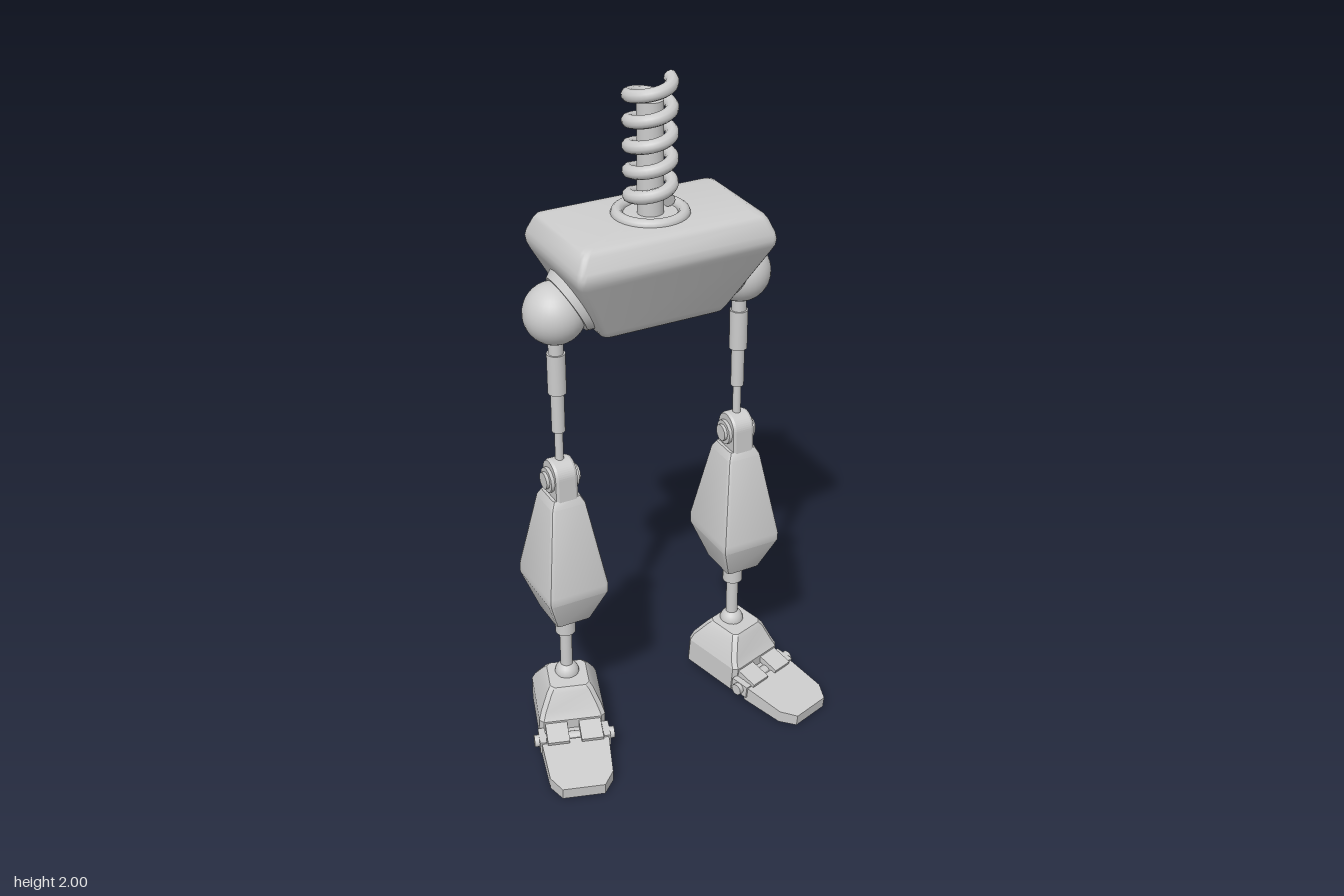
import * as THREE from 'three';
import { toCreasedNormals } from 'three/addons/utils/BufferGeometryUtils.js';

const material = new THREE.MeshStandardMaterial({ color: 0xcccccc });

function add(parent, name, geometry, x = 0, y = 0, z = 0) {
  const mesh = new THREE.Mesh(geometry, material);
  mesh.name = name;
  mesh.position.set(x, y, z);
  parent.add(mesh);
  return mesh;
}

// Stack of rounded rectangles, each [y, halfX, halfZ, cornerRadius, centreZ]
function loft(rings, seg = 3, crease = 0.6) {
  const pos = [], index = [];
  const n = 4 * (seg + 1);
  const signs = [[1, -1], [-1, -1], [-1, 1], [1, 1]];
  for (const [y, hx, hz, r, cz = 0] of rings) {
    signs.forEach(([sx, sz], q) => {
      for (let k = 0; k <= seg; k++) {
        const a = (q + k / seg) * Math.PI / 2;
        pos.push(sx * (hx - r) + r * Math.cos(a), y, cz + sz * (hz - r) - r * Math.sin(a));
      }
    });
  }
  for (let i = 0; i < rings.length - 1; i++) {
    for (let j = 0; j < n; j++) {
      const a = i * n + j, b = i * n + (j + 1) % n;
      index.push(a, b, b + n, a, b + n, a + n);
    }
  }
  // End caps
  const last = (rings.length - 1) * n;
  for (let j = 1; j < n - 1; j++) {
    index.push(0, j + 1, j, last, last + j, last + j + 1);
  }
  const g = new THREE.BufferGeometry();
  g.setAttribute('position', new THREE.Float32BufferAttribute(pos, 3));
  g.setIndex(index);
  return toCreasedNormals(g, crease);
}

// Vertical rod between two heights
function rod(parent, name, y0, y1, r0, r1 = r0) {
  return add(parent, name, new THREE.CylinderGeometry(r1, r0, y1 - y0, 20), 0, (y0 + y1) / 2, 0);
}

function bolt(parent, name, radius, length, y, z) {
  const mesh = add(parent, name, new THREE.CylinderGeometry(radius, radius, length, 12), 0, y, z);
  mesh.rotation.z = Math.PI / 2;
}

class Helix extends THREE.Curve {
  getPoint(t, target = new THREE.Vector3()) {
    const a = Math.PI / 2 - (1 - t) * Math.PI * 2 * 5;
    return target.set(Math.sin(a) * 0.057, 1.64 + t * 0.342, Math.cos(a) * 0.057);
  }
}

function makeFoot(side) {
  const foot = new THREE.Group();
  foot.name = 'foot';
  foot.rotation.order = 'YXZ';
  foot.rotation.set(0.1, side * 0.305, 0);
  foot.position.y = 0.0335;

  add(foot, 'heel', loft([
    [0, 0.098, 0.103, 0.012, 0.0],
    [0.08, 0.098, 0.103, 0.012, 0.0],
    [0.102, 0.09, 0.092, 0.012, -0.005],
    [0.155, 0.068, 0.064, 0.012, 0.0],
    [0.168, 0.058, 0.054, 0.012, 0.0],
  ], 1, 0.3));

  // Toe hinge: core, two plates and a cross bolt
  add(foot, 'hingeCore', new THREE.BoxGeometry(0.17, 0.045, 0.09), 0, 0.0235, 0.13);
  for (const s of [-1, 1]) {
    const plate = add(foot, 'hingePlate', new THREE.BoxGeometry(0.065, 0.02, 0.07), s * 0.05, 0.057, 0.133);
    plate.rotation.x = 0.2;
    add(foot, 'hingeLug', new THREE.BoxGeometry(0.02, 0.04, 0.06), s * 0.095, 0.035, 0.13);
  }
  bolt(foot, 'hingeBolt', 0.018, 0.238, 0.036, 0.13);

  // Toe plate, thinner towards the tip
  const outline = [[-0.1, 0.15], [0.1, 0.15], [0.092, 0.287], [0.062, 0.333], [-0.062, 0.333], [-0.092, 0.287]];
  const toe = new THREE.ExtrudeGeometry(new THREE.Shape(outline.map(p => new THREE.Vector2(...p))),
    { depth: 0.05, bevelEnabled: false });
  toe.rotateX(Math.PI / 2).translate(0, 0.05, 0);
  const p = toe.attributes.position;
  for (let i = 0; i < p.count; i++) p.setY(i, p.getY(i) * (1 - 1.5 * (p.getZ(i) - 0.15)));
  toe.computeVertexNormals();
  add(foot, 'toe', toe);
  return foot;
}

function makeLeg(side) {
  const leg = new THREE.Group();
  leg.name = side > 0 ? 'leftLeg' : 'rightLeg';
  leg.position.set(side * 0.283, 0, -0.08);

  add(leg, 'hipBall', new THREE.SphereGeometry(0.087, 32, 20), 0, 1.39, 0);

  // Telescoping thigh
  rod(leg, 'thighNeck', 1.26, 1.33, 0.021);
  rod(leg, 'thighSleeve', 1.15, 1.27, 0.026);
  rod(leg, 'thighTube', 1.03, 1.15, 0.019);
  rod(leg, 'thighRod', 0.88, 1.03, 0.012);

  // Knee: arched tab with a cross bolt
  const arch = new THREE.Shape();
  arch.moveTo(-0.045, 0.8);
  arch.lineTo(0.045, 0.8);
  arch.lineTo(0.043, 0.895);
  arch.absarc(0, 0.895, 0.043, 0, Math.PI, false);
  arch.closePath();
  const tab = new THREE.ExtrudeGeometry(arch,
    { depth: 0.05, bevelSize: 0.004, bevelThickness: 0.008, bevelSegments: 1, curveSegments: 12 });
  tab.translate(0, 0, -0.025).rotateY(Math.PI / 2);
  add(leg, 'kneeTab', tab);
  bolt(leg, 'kneeBolt', 0.037, 0.086, 0.882, 0);
  bolt(leg, 'kneeBoltHead', 0.025, 0.104, 0.882, 0);

  add(leg, 'shin', loft([
    [0.42, 0.054, 0.066, 0.01],
    [0.53, 0.094, 0.113, 0.015],
    [0.555, 0.094, 0.113, 0.015],
    [0.81, 0.053, 0.057, 0.01],
    [0.832, 0.042, 0.046, 0.01],
  ], 2, 0.5));

  // Ankle
  rod(leg, 'ankleSleeve', 0.35, 0.43, 0.03);
  rod(leg, 'ankleRod', 0.2, 0.35, 0.018);
  add(leg, 'ankleBall', new THREE.SphereGeometry(0.036, 20, 14), 0, 0.2, 0);

  leg.add(makeFoot(side));
  return leg;
}

export function createModel() {
  const model = new THREE.Group();
  model.name = 'walkerLegs';

  const torso = new THREE.Group();
  torso.name = 'torso';
  torso.position.set(0.004, 0, -0.08);
  model.add(torso);

  // Pelvis, tapering downwards
  add(torso, 'pelvis', loft([
    [1.32, 0.172, 0.075, 0.015],
    [1.326, 0.184, 0.084, 0.02],
    [1.345, 0.197, 0.093, 0.02],
    [1.515, 0.284, 0.168, 0.02],
    [1.532, 0.291, 0.176, 0.02],
    [1.55, 0.293, 0.179, 0.02],
    [1.566, 0.29, 0.176, 0.02],
    [1.602, 0.276, 0.161, 0.02],
    [1.614, 0.268, 0.153, 0.02],
    [1.62, 0.254, 0.14, 0.02],
  ], 4, 0.75));

  // Hip collars on the sloping sides
  for (const s of [-1, 1]) {
    const collar = add(torso, 'hipCollar', new THREE.CylinderGeometry(0.088, 0.105, 0.035, 32), s * 0.236, 1.415, 0);
    collar.rotation.z = -s * (Math.PI / 2 + 0.5);
  }

  // Spine: ring, rod and spring
  const ring = add(torso, 'spineRing', new THREE.TorusGeometry(0.09, 0.017, 10, 32), 0, 1.62, 0);
  ring.rotation.x = Math.PI / 2;
  rod(torso, 'spineRod', 1.61, 1.93, 0.036);
  const helix = new Helix();
  add(torso, 'spring', new THREE.TubeGeometry(helix, 160, 0.018, 10, false));
  // Closed spring ends
  for (const t of [0, 1]) {
    const end = helix.getPoint(t);
    const cap = add(torso, 'springEnd', new THREE.CircleGeometry(0.018, 10), end.x, end.y, end.z);
    const direction = helix.getTangent(t).multiplyScalar(t ? 1 : -1);
    cap.quaternion.setFromUnitVectors(new THREE.Vector3(0, 0, 1), direction);
  }

  for (const side of [1, -1]) model.add(makeLeg(side));
  return model;
}
